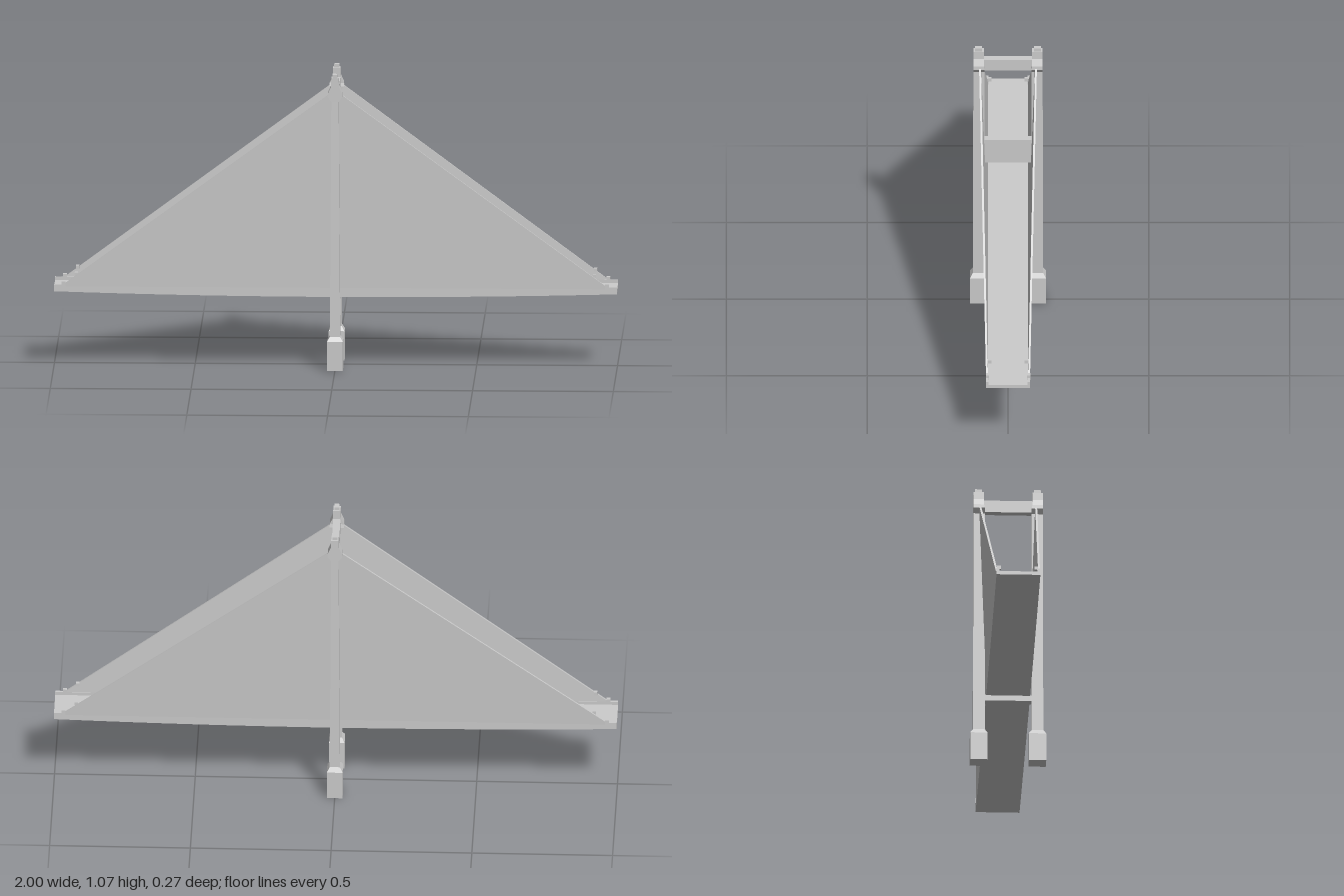
import * as THREE from 'three';

const grey = new THREE.MeshStandardMaterial({ color: 0xcccccc, flatShading: true, side: THREE.DoubleSide });

function add(parent, geometry, name) {
  const mesh = new THREE.Mesh(geometry, grey);
  mesh.name = name;
  parent.add(mesh);
  return mesh;
}

function box(parent, name, sx, sy, sz, x, y, z) {
  add(parent, new THREE.BoxGeometry(sx, sy, sz), name).position.set(x, y, z);
}

// Closed solid through four-cornered cross-sections
function loft(rings) {
  const index = [];
  for (let r = 0; r < rings.length - 1; r++) {
    for (let i = 0; i < 4; i++) {
      const a = r * 4 + i, b = r * 4 + (i + 1) % 4;
      index.push(a, a + 4, b, b, a + 4, b + 4);
    }
  }
  const e = (rings.length - 1) * 4;
  index.push(0, 1, 2, 0, 2, 3, e, e + 2, e + 1, e, e + 3, e + 2);
  const g = new THREE.BufferGeometry();
  g.setAttribute('position', new THREE.Float32BufferAttribute(rings.flat(2), 3));
  g.setIndex(index);
  const flat = g.toNonIndexed();
  flat.computeVertexNormals();
  return flat;
}

// Tower leg levels: height, half width in x, inner z, outer z
const legLevels = [
  [0, 0.028, 0.073, 0.135],
  [0.105, 0.028, 0.073, 0.135],
  [0.122, 0.018, 0.083, 0.125],
  [0.97, 0.013, 0.083, 0.123],
  [0.987, 0.026, 0.083, 0.123],
  [1.0, 0.025, 0.086, 0.123],
  [1.025, 0.014, 0.086, 0.123],
  [1.054, 0.013, 0.086, 0.123],
  [1.054, 0.009, 0.092, 0.117],
  [1.066, 0.009, 0.092, 0.117],
];

export function createModel() {
  const model = new THREE.Group();
  model.name = 'cableStayedBridge';

  // Deck slab with a shallow arched underside
  const side = new THREE.Shape();
  side.moveTo(-1, 0.285);
  side.lineTo(-1, 0.272);
  side.quadraticCurveTo(0, 0.242, 1, 0.272);
  side.lineTo(1, 0.285);
  side.closePath();
  const slab = new THREE.ExtrudeGeometry(side, { depth: 0.156, bevelEnabled: false, curveSegments: 16 });
  slab.translate(0, 0, -0.078);
  add(model, slab, 'deck');

  const tower = new THREE.Group();
  tower.name = 'tower';
  model.add(tower);

  for (const s of [1, -1]) {
    // Tower leg with footing, saddle flare and cap
    const rings = legLevels.map(([y, hx, zi, zo]) => {
      const [a, b] = s > 0 ? [zi, zo] : [-zo, -zi];
      return [[-hx, y, a], [hx, y, a], [hx, y, b], [-hx, y, b]];
    });
    add(tower, loft(rings), 'towerLeg');

    // Raised curb along the deck edge
    box(model, 'curb', 2, 0.012, 0.009, 0, 0.291, s * 0.0735);

    // Triangular cable plane leaning outward towards the tower top
    const tri = new THREE.Shape();
    tri.moveTo(-0.975, 0.29);
    tri.lineTo(0.975, 0.29);
    tri.lineTo(0.012, 1.0);
    tri.lineTo(-0.012, 1.0);
    tri.closePath();
    const plane = new THREE.ExtrudeGeometry(tri, { depth: 0.007, bevelEnabled: false });
    const p = plane.attributes.position;
    for (let i = 0; i < p.count; i++) {
      const lean = 0.071 + (p.getY(i) - 0.29) / 0.71 * 0.025;
      p.setZ(i, s * (lean + p.getZ(i)));
    }
    // Mirroring in z reverses the winding, so swap two corners of each face
    if (s < 0) {
      for (let i = 0; i < p.count; i += 3) {
        const a = new THREE.Vector3().fromBufferAttribute(p, i);
        const b = new THREE.Vector3().fromBufferAttribute(p, i + 1);
        p.setXYZ(i, b.x, b.y, b.z);
        p.setXYZ(i + 1, a.x, a.y, a.z);
      }
    }
    plane.computeVertexNormals();
    add(model, plane, 'cablePlane');

    // Small anchors at the outer cable ends
    for (const e of [1, -1]) {
      box(model, 'cableAnchor', 0.012, 0.012, 0.014, e * 0.92, 0.334, s * 0.066);
      box(model, 'endAnchor', 0.014, 0.02, 0.012, e * 0.965, 0.298, s * 0.073);
    }
  }

  // Cross beams: below the deck, mid height and top
  box(tower, 'deckBeam', 0.03, 0.022, 0.18, 0, 0.248, 0);
  box(tower, 'middleBeam', 0.024, 0.096, 0.18, 0, 0.634, 0);
  box(tower, 'topBeam', 0.026, 0.045, 0.18, 0, 0.998, 0);

  return model;
}
